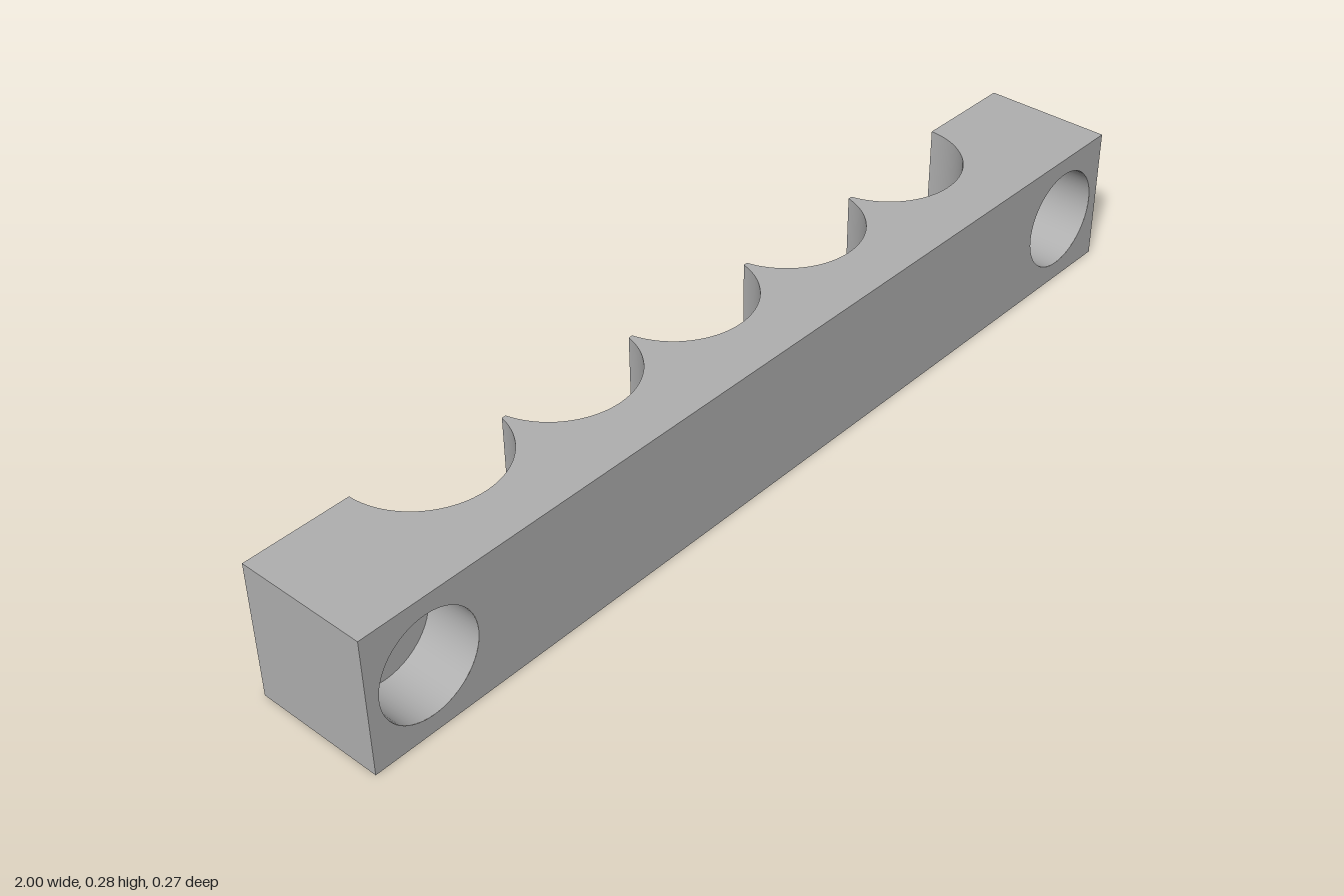
import * as THREE from 'three';

const H = 0.283, D = 0.135;             // height, half depth
const R = 0.156, PITCH = 0.313;         // scallop radius and spacing
const CUSP = -0.10;                     // z of the flat ridges between scallops
const HOLE_X = 0.87, HOLE_Y = H / 2, HOLE_R = 0.056, BORE_R = 0.105, STEP_Z = 0.017;
const SEG = 48;
const EDGE = 2 * PITCH + R;             // where the end blocks begin

// Turn a surface inside out
function flip(geometry) {
  const index = geometry.index.array;
  for (let i = 0; i < index.length; i += 3) {
    [index[i], index[i + 1]] = [index[i + 1], index[i]];
  }
  const n = geometry.attributes.normal.array;
  for (let i = 0; i < n.length; i++) n[i] = -n[i];
  return geometry;
}

// Upright panel with round holes
function panel(x0, x1, holes, radius) {
  const shape = new THREE.Shape([
    new THREE.Vector2(x0, 0), new THREE.Vector2(x1, 0),
    new THREE.Vector2(x1, H), new THREE.Vector2(x0, H),
  ]);
  for (const x of holes) {
    shape.holes.push(new THREE.Path().absarc(x, HOLE_Y, radius, 0, Math.PI * 2, true));
  }
  return new THREE.ShapeGeometry(shape, SEG);
}

export function createModel() {
  const group = new THREE.Group();
  const grey = new THREE.MeshStandardMaterial({ color: 0xb0b0b0 });
  grey.name = 'plain grey';

  function add(name, geometry, x = 0, y = 0, z = 0) {
    const mesh = new THREE.Mesh(geometry, grey);
    mesh.name = name;
    mesh.position.set(x, y, z);
    group.add(mesh);
    return mesh;
  }

  // Scallops: angle 0 points to the front, full quarter at the two outer ends
  const inner = Math.acos((CUSP + D) / R);
  const scallops = [2, 1, 0, -1, -2].map((i) => ({
    x: i * PITCH,
    from: i === -2 ? -Math.PI / 2 : -inner,
    to: i === 2 ? Math.PI / 2 : inner,
  }));

  // Top and bottom outline, drawn with -z as the second axis
  const outline = [[-1, -D], [1, -D], [1, D]].map(([x, y]) => new THREE.Vector2(x, y));
  for (const { x, from, to } of scallops) {
    for (let k = 0; k <= SEG; k++) {
      const a = to + (from - to) * k / SEG;
      outline.push(new THREE.Vector2(x + R * Math.sin(a), D - R * Math.cos(a)));
    }
  }
  outline.push(new THREE.Vector2(-1, D));
  const top = new THREE.ShapeGeometry(new THREE.Shape(outline)).rotateX(-Math.PI / 2);
  add('topFace', top, 0, H);
  add('bottomFace', flip(top.clone()));

  // Curved scallop walls
  for (const { x, from, to } of scallops) {
    const wall = new THREE.CylinderGeometry(R, R, H, SEG, 1, true, from, to - from);
    add('scallop', flip(wall), x, H / 2, -D);
  }

  // Narrow flats on the ridges between scallops
  const ridge = PITCH - 2 * R * Math.sin(inner);
  for (const i of [-1.5, -0.5, 0.5, 1.5]) {
    add('ridge', new THREE.PlaneGeometry(ridge, H).rotateY(Math.PI), i * PITCH, H / 2, CUSP);
  }

  // Front face with the counterbore openings
  add('frontFace', panel(-1, 1, [-HOLE_X, HOLE_X], BORE_R), 0, 0, D);

  for (const side of [-1, 1]) {
    // End face and rear face of the end block
    add('endFace', new THREE.PlaneGeometry(2 * D, H).rotateY(side * Math.PI / 2), side, H / 2);
    const [x0, x1] = side > 0 ? [EDGE, 1] : [-1, -EDGE];
    add('rearFace', flip(panel(x0, x1, [side * HOLE_X], HOLE_R)), 0, 0, -D);

    // Counterbored screw hole: wide wall, step, narrow wall
    const profile = [[BORE_R, D], [BORE_R, STEP_Z], [HOLE_R, STEP_Z], [HOLE_R, -D]]
      .map(([r, z]) => new THREE.Vector2(r, z));
    ['counterbore', 'boreStep', 'screwHole'].forEach((name, i) => {
      const surface = new THREE.LatheGeometry(profile.slice(i, i + 2), SEG).rotateX(Math.PI / 2);
      add(name, surface, side * HOLE_X, HOLE_Y);
    });
  }

  return group;
}
